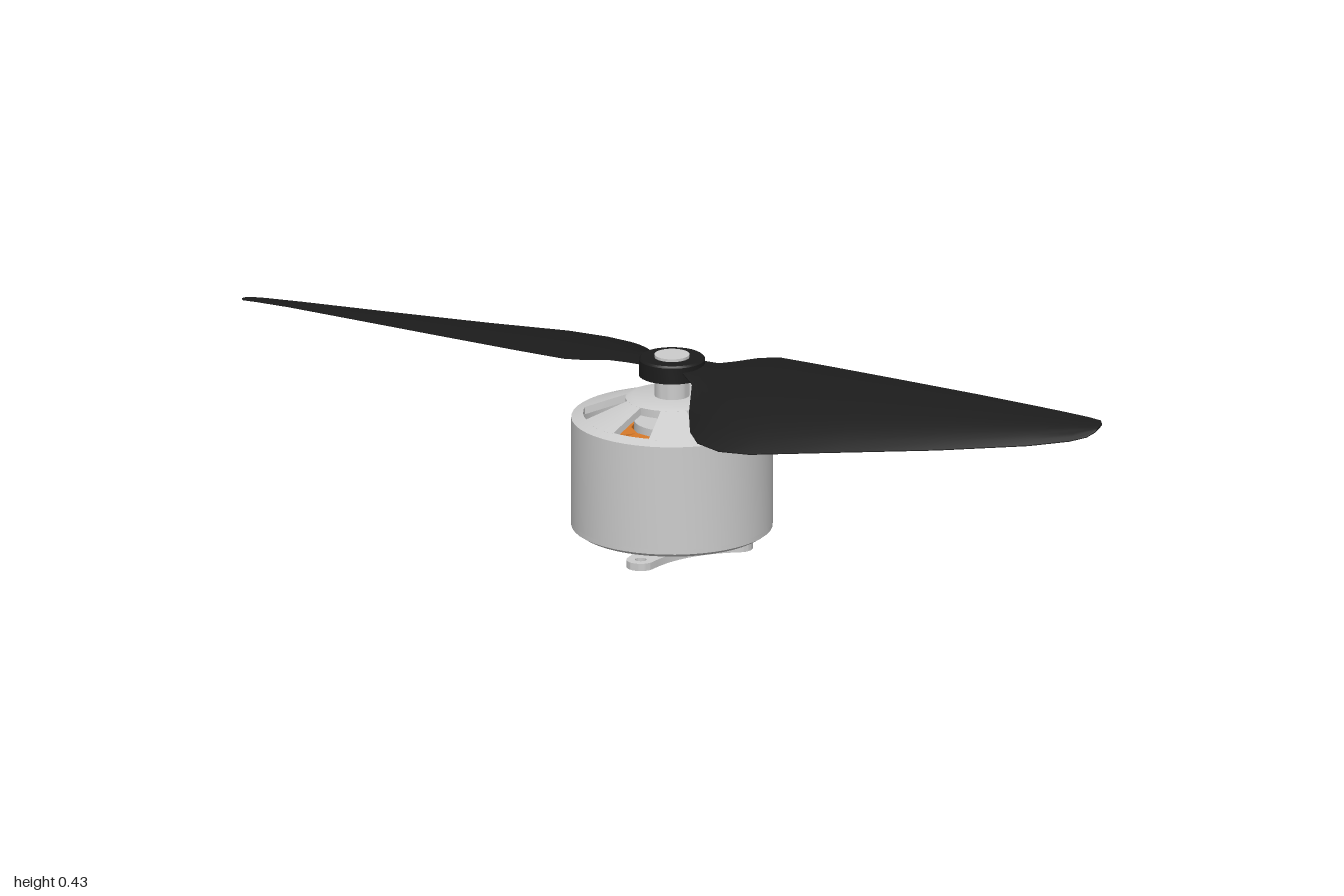
import * as THREE from 'three';
import { toCreasedNormals } from 'three/addons/utils/BufferGeometryUtils.js';

const grey = new THREE.MeshStandardMaterial({ color: 0xcccccc });
const black = new THREE.MeshStandardMaterial({ color: 0x1c1c1c });
const copper = new THREE.MeshStandardMaterial({ color: 0xd87a2a });
const RAD = Math.PI / 180;
const lerp = THREE.MathUtils.lerp;

function add(parent, name, geometry, material = grey) {
  const mesh = new THREE.Mesh(toCreasedNormals(geometry, 0.5), material);
  mesh.name = name;
  parent.add(mesh);
  return mesh;
}

// Solid of revolution; [radius, y] points run counter-clockwise.
function turned(points, sides = 48) {
  return new THREE.LatheGeometry(points.map(([r, y]) => new THREE.Vector2(r, y)), sides);
}

// Moves every vertex of a box by a rule on its unit coordinates.
function bend(box, rule) {
  const p = box.attributes.position;
  for (let i = 0; i < p.count; i++) {
    p.setXYZ(i, ...rule(p.getX(i) + 0.5, p.getY(i) + 0.5, p.getZ(i) + 0.5));
  }
  return box;
}

// Six sloping spokes that leave windows between them.
function addSpokes(parent, name, [rIn, yIn, halfIn], [rOut, yOut, halfOut], thick) {
  for (let k = 0; k < 6; k++) {
    const mid = (30 + k * 60) * RAD;
    add(parent, name, bend(new THREE.BoxGeometry(1, 1, 1, 6, 1, 3), (u, v, w) => {
      const r = lerp(rIn, rOut, w);
      const a = mid + (u * 2 - 1) * lerp(halfIn, halfOut, w) * RAD;
      return [r * Math.sin(a), lerp(yIn, yOut, w) + (v - 1) * thick, r * Math.cos(a)];
    }));
  }
}

// Blade stations: x, rear edge z, front edge z, top y, droop of front edge.
const STATIONS = [
  [0.04, -0.04, 0.04, 0.412, 0],
  [0.09, -0.04, 0.08, 0.412, 0.012],
  [0.12, -0.055, 0.15, 0.416, 0.055],
  [0.16, -0.09, 0.22, 0.42, 0.074],
  [0.2, -0.108, 0.262, 0.422, 0.083],
  [0.26, -0.106, 0.28, 0.422, 0.087],
  [0.33, -0.103, 0.273, 0.422, 0.085],
  [0.5, -0.093, 0.205, 0.422, 0.074],
  [0.7, -0.08, 0.13, 0.422, 0.06],
  [0.88, -0.066, 0.06, 0.421, 0.042],
  [0.96, -0.061, 0.025, 0.419, 0.028],
  [0.99, -0.058, 0.006, 0.417, 0.018],
  [1.0, -0.045, -0.015, 0.414, 0.008],
];

function bladeGeometry() {
  const n = STATIONS.length - 1;
  return bend(new THREE.BoxGeometry(1, 1, 1, n, 1, 10), (u, v, w) => {
    const [x, z0, z1, top, droop] = STATIONS[Math.round(u * n)];
    const thick = 0.002 + 0.01 * Math.sin(Math.PI * w) * (1 - 0.7 * u);
    return [x, top - droop * Math.pow(w, 2.4) - (1 - v) * thick, lerp(z0, z1, w)];
  });
}

// Three-armed plate with rounded ends, concave sides and screw holes.
function mountGeometry() {
  const shape = new THREE.Shape();
  const at = (r, a) => [r * Math.cos(a), r * Math.sin(a)];
  const reach = 0.14, round = 0.03;
  for (let k = 0; k <= 3; k++) {
    const a = (-90 + 120 * k) * RAD;
    const [cx, cy] = at(reach, a);
    const sx = cx + round * Math.cos(a - Math.PI / 2);
    const sy = cy + round * Math.sin(a - Math.PI / 2);
    if (k === 0) shape.moveTo(sx, sy);
    else shape.quadraticCurveTo(...at(0.045, a - 60 * RAD), sx, sy);
    if (k === 3) break;
    shape.absarc(cx, cy, round, a - Math.PI / 2, a + Math.PI / 2, false);
    shape.holes.push(new THREE.Path().absarc(cx, cy, 0.012, 0, Math.PI * 2, true));
  }
  shape.holes.push(new THREE.Path().absarc(0, 0, 0.03, 0, Math.PI * 2, true));
  return new THREE.ExtrudeGeometry(shape, { depth: 0.016, bevelEnabled: false, curveSegments: 16 })
    .rotateX(-Math.PI / 2);
}

export function createModel() {
  const model = new THREE.Group();
  model.name = 'motorWithPropeller';

  // Rotating bell: wall, slotted sloping top and shaft
  const bell = new THREE.Group();
  bell.name = 'bell';
  model.add(bell);
  add(bell, 'bellWall', turned([
    [0.192, 0.058], [0.212, 0.058], [0.212, 0.292], [0.187, 0.301], [0.187, 0.286], [0.192, 0.284], [0.192, 0.058],
  ]));
  add(bell, 'bellCrown', turned([
    [0, 0.318], [0.098, 0.318], [0.098, 0.335], [0.085, 0.34], [0, 0.34],
  ]));
  addSpokes(bell, 'bellSpoke', [0.095, 0.336, 16], [0.19, 0.3, 17], 0.016);
  add(bell, 'shaft', turned([[0, 0.335], [0.037, 0.335], [0.037, 0.43], [0, 0.43]], 32));

  // Lower cover: rim, spokes and neck
  const cover = new THREE.Group();
  cover.name = 'lowerCover';
  model.add(cover);
  add(cover, 'coverRim', turned([
    [0.182, 0.045], [0.2, 0.047], [0.212, 0.055], [0.212, 0.065], [0.182, 0.065], [0.182, 0.045],
  ]));
  addSpokes(cover, 'coverSpoke', [0.085, 0.042, 15], [0.19, 0.055, 14], 0.01);
  add(cover, 'neck', turned([
    [0.03, 0.016], [0.085, 0.016], [0.05, 0.032], [0.095, 0.032], [0.095, 0.044], [0.03, 0.044], [0.03, 0.016],
  ]));
  add(cover, 'mountPlate', mountGeometry());

  // Stator: core, teeth and copper windings
  const stator = new THREE.Group();
  stator.name = 'stator';
  model.add(stator);
  add(stator, 'statorCore', turned([[0, 0.04], [0.08, 0.04], [0.08, 0.285], [0, 0.285]]));
  for (let k = 0; k < 12; k++) {
    const arm = new THREE.Group();
    arm.name = 'statorArm';
    arm.rotation.y = (15 + 30 * k) * RAD;
    add(arm, 'winding', new THREE.BoxGeometry(0.046, 0.2, 0.085).translate(0, 0.17, 0.125), copper);
    add(arm, 'toothTip', new THREE.BoxGeometry(0.075, 0.17, 0.014).translate(0, 0.17, 0.174));
    stator.add(arm);
  }

  // Two-bladed propeller
  const propeller = new THREE.Group();
  propeller.name = 'propeller';
  model.add(propeller);
  add(propeller, 'propellerHub', turned([
    [0.035, 0.385], [0.07, 0.385], [0.07, 0.42], [0.066, 0.424], [0.035, 0.424], [0.035, 0.385],
  ], 32), black);
  for (const turn of [0, Math.PI]) {
    add(propeller, 'blade', bladeGeometry(), black).rotation.y = turn;
  }
  return model;
}
